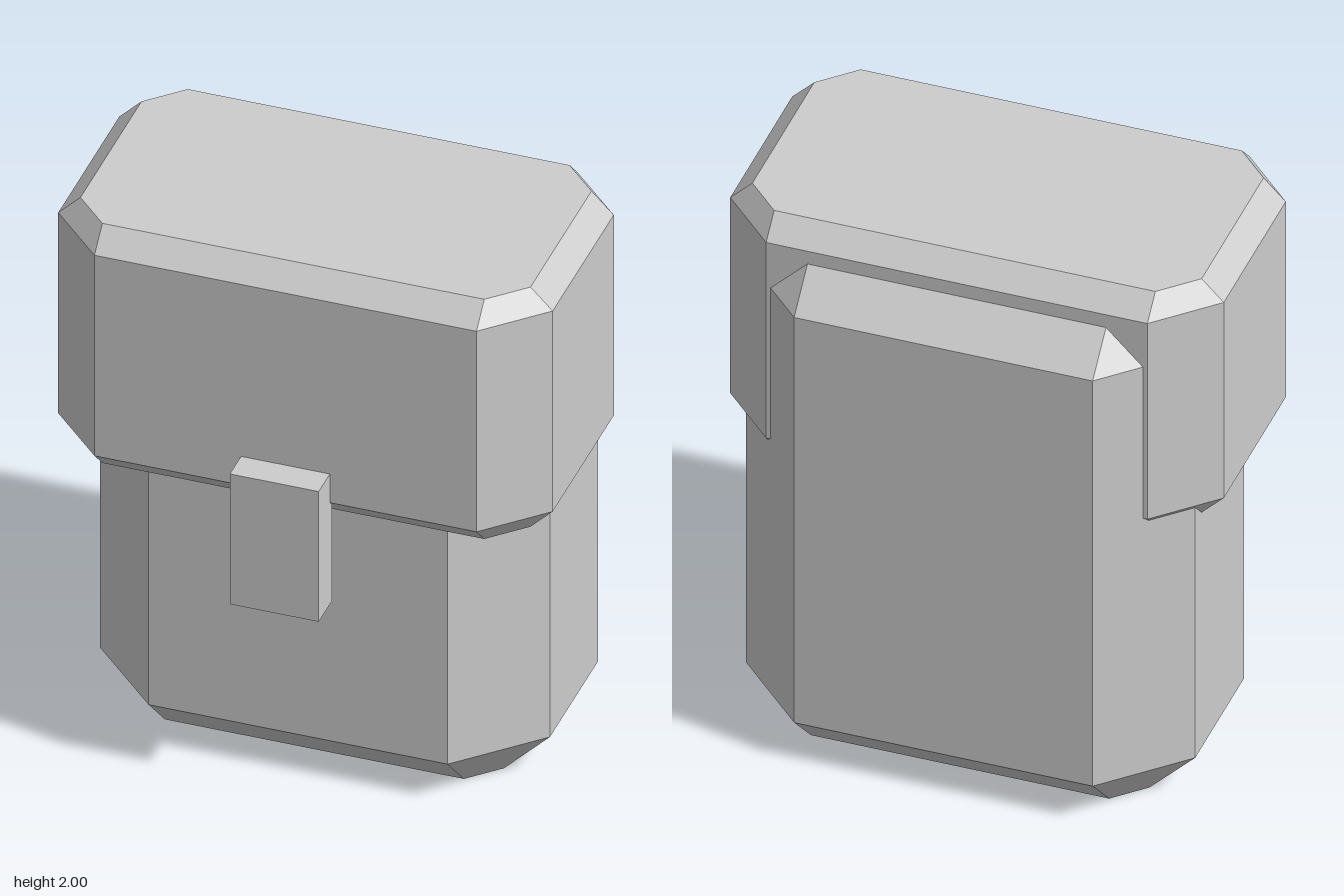
import * as THREE from 'three';

// Eight-sided outline; corner points (cx, cz) stay put while the sides move in by inset.
function outline({ hx, hz, cut }, y, inset) {
  const cx = hx - cut, cz = hz - cut;
  const x = hx - inset, z = hz - inset;
  return [
    [-cx, z], [cx, z], [x, cz], [x, -cz],
    [cx, -z], [-cx, -z], [-x, -cz], [-x, cz],
  ].map(([px, pz]) => new THREE.Vector3(px, y, pz));
}

// Block with cut corners and bevelled top and bottom, lofted through four outlines.
function bevelledBlock(size, y0, y1, bevel) {
  const rings = [
    outline(size, y0, bevel),
    outline(size, y0 + bevel, 0),
    outline(size, y1 - bevel, 0),
    outline(size, y1, bevel),
  ];
  const points = [];
  const n = 8;
  for (let r = 0; r < rings.length - 1; r++) {
    const low = rings[r], high = rings[r + 1];
    for (let i = 0; i < n; i++) {
      const j = (i + 1) % n;
      points.push(low[i], low[j], high[j], low[i], high[j], high[i]);
    }
  }
  // End caps
  const bottom = rings[0], top = rings[3];
  for (let i = 1; i < n - 1; i++) {
    points.push(top[0], top[i], top[i + 1]);
    points.push(bottom[0], bottom[i + 1], bottom[i]);
  }
  const geometry = new THREE.BufferGeometry().setFromPoints(points);
  geometry.computeVertexNormals();
  return geometry;
}

export function createModel() {
  const model = new THREE.Group();
  model.name = 'pouch';

  const grey = new THREE.MeshStandardMaterial({ color: 0xcccccc, flatShading: true });
  grey.name = 'light grey';

  const add = (name, geometry, y, z) => {
    const mesh = new THREE.Mesh(geometry, grey);
    mesh.name = name;
    mesh.position.set(0, y, z);
    model.add(mesh);
  };

  // Main compartment, set back
  add('body', bevelledBlock({ hx: 0.76, hz: 0.4825, cut: 0.255 }, 0, 1.905, 0.155), 0, -0.1125);

  // Wider lid that overhangs the front and sides
  add('lid', bevelledBlock({ hx: 0.835, hz: 0.48, cut: 0.19 }, 1.08, 2, 0.075), 0, 0.01);

  // Front fastener
  add('clasp', new THREE.BoxGeometry(0.3, 0.5, 0.126), 1.015, 0.533);

  return model;
}
